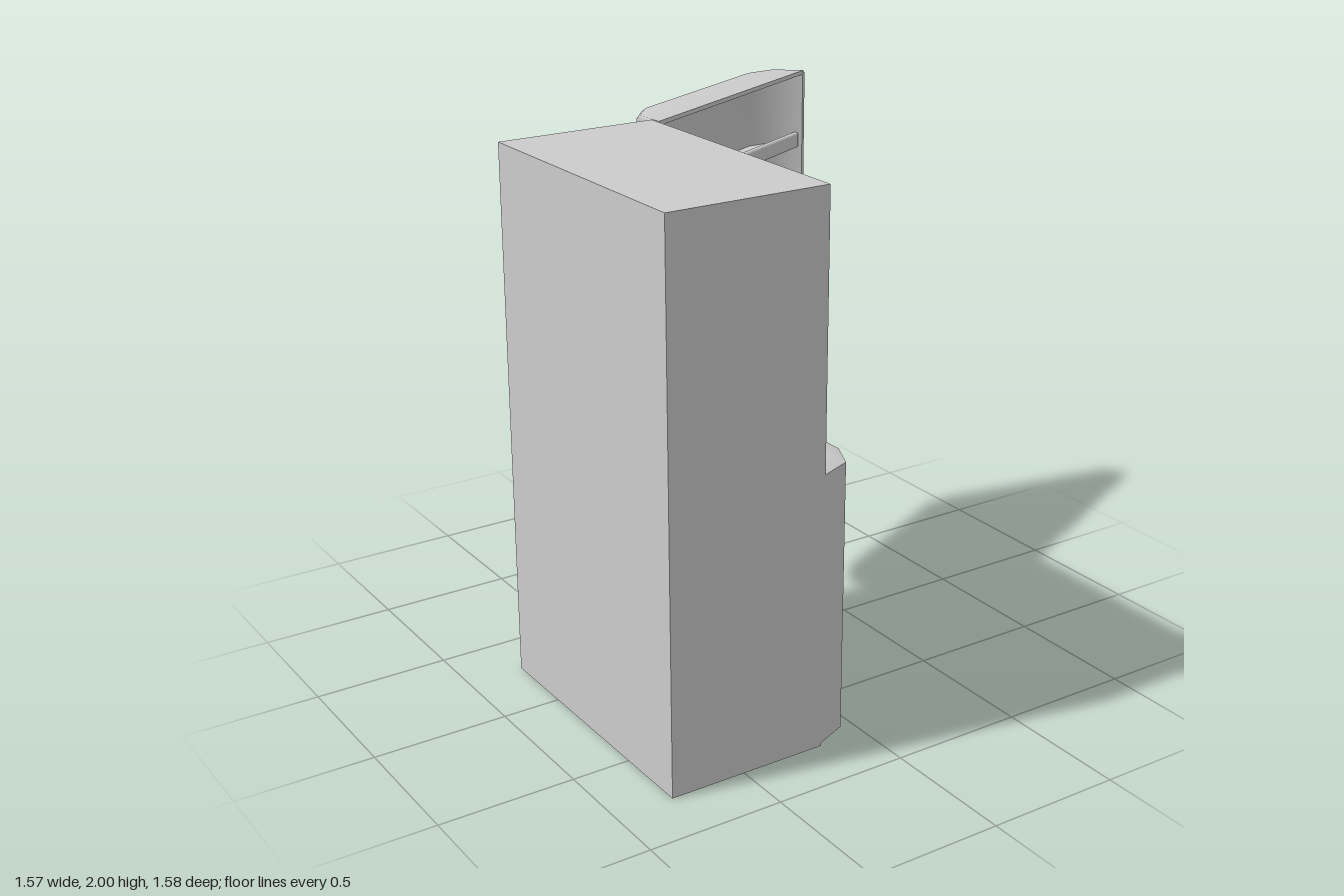
import * as THREE from 'three';
import { RoundedBoxGeometry } from 'three/addons/geometries/RoundedBoxGeometry.js';

const material = new THREE.MeshStandardMaterial({ color: 0xcccccc, side: THREE.DoubleSide });

// Door outline: [along the door, depth outwards], with rounded corners
const WIDTH = 1.07, DEPTH = 0.17;
const outline = [[0, 0], [0.05, 0.12], [0.16, DEPTH], [0.91, DEPTH], [1.02, 0.12], [WIDTH, 0]];

// Outline shrunk by an inset
const insetOutline = (d) => outline.map(([u, v]) => [
  WIDTH / 2 + (u - WIDTH / 2) * (1 - d / (WIDTH / 2)),
  v * (1 - d / DEPTH),
]);

// Skin through stacked outlines; each row is [inset, y, flat], flat collapses it to the hinge plane
function loft(rows) {
  const positions = [], index = [], n = outline.length;
  rows.forEach(([d, y, flat], j) => {
    insetOutline(d).forEach(([u, v], i) => {
      positions.push(flat ? 0 : v, y, u);
      if (j < rows.length - 1 && i < n - 1) {
        const a = j * n + i;
        index.push(a, a + n, a + 1, a + 1, a + n, a + n + 1);
      }
    });
  });
  const geometry = new THREE.BufferGeometry();
  geometry.setAttribute('position', new THREE.Float32BufferAttribute(positions, 3));
  geometry.setIndex(index);
  geometry.computeVertexNormals();
  return geometry;
}

function add(parent, name, geometry, x = 0, y = 0, z = 0) {
  const mesh = new THREE.Mesh(geometry, material);
  mesh.name = name;
  mesh.position.set(x, y, z);
  parent.add(mesh);
  return mesh;
}

// Box given by its limits
function panel(parent, name, x0, x1, y0, y1, z0, z1) {
  return add(parent, name, new THREE.BoxGeometry(x1 - x0, y1 - y0, z1 - z0),
    (x0 + x1) / 2, (y0 + y1) / 2, (z0 + z1) / 2);
}

function createCabinet() {
  const cabinet = new THREE.Group();
  cabinet.name = 'cabinet';
  const x0 = -0.785, x1 = -0.18, z0 = -0.285, z1 = 0.785, t = 0.02;
  panel(cabinet, 'backPanel', x0, x0 + t, 0, 2, z0, z1);
  panel(cabinet, 'topPanel', x0 + t, x1, 2 - t, 2, z0, z1);
  panel(cabinet, 'floorPanel', x0 + t, x1, 0, t, z0, z1);
  panel(cabinet, 'hingeSidePanel', x0 + t, x1, t, 2 - t, z0, z0 + t);
  panel(cabinet, 'openingSidePanel', x0 + t, x1, t, 2 - t, z1 - t, z1);
  for (const y of [1.16, 1.68]) {
    panel(cabinet, 'shelf', x0 + t, x1 - 0.01, y, y + 0.03, z0 + t, z1 - t);
  }
  return cabinet;
}

function createLowerDoor() {
  const door = new THREE.Group();
  door.name = 'lowerDoor';
  // Hollow shell with a sloping rim around its open top
  add(door, 'lowerDoorShell', loft([
    [0.012, 0, true], [0.012, 0], [0, 0.012], [0, 1.02],
  ]));
  add(door, 'lowerDoorRim', loft([[0, 1.02], [0.045, 1.035], [0.065, 1.035], [0.065, 1.0]]));
  // Oval ring handle
  const handle = add(door, 'handle', new THREE.TorusGeometry(0.088, 0.016, 12, 40), 0.163, 0.953, 0.755);
  handle.rotation.x = Math.PI / 2;
  handle.scale.x = 0.7;
  door.position.set(-0.18, 0, -0.285);
  return door;
}

function createUpperDoor() {
  const door = new THREE.Group();
  door.name = 'upperDoor';
  const y0 = 1.04, y1 = 1.998, t = 0.016, b = 0.012;
  add(door, 'upperDoorShell', loft([
    [b, y0, true], [b, y0], [0, y0 + b], [0, y1 - b], [b, y1], [b, y1, true],
  ]));
  add(door, 'upperDoorLining', loft([
    [t, y0 + t, true], [t, y0 + t], [t, y1 - t], [t, y1 - t, true],
  ]));
  // Rim between shell and lining
  for (const u of [0, WIDTH - t]) panel(door, 'sideRim', 0, 0.004, y0 + b, y1 - b, u, u + t);
  for (const y of [y0, y1 - t]) panel(door, 'endRim', 0, 0.004, y, y + t, b, WIDTH - b);
  // Door racks: a rail in front of a floor
  for (const y of [1.195, 1.442, 1.69]) {
    add(door, 'rackRail', new RoundedBoxGeometry(0.026, 0.062, 1.02, 3, 0.011), 0.02, y + 0.031, WIDTH / 2);
    add(door, 'rackFloor', loft([
      [0.02, y + 0.004, true], [0.02, y + 0.004], [0.02, y + 0.016], [0.02, y + 0.016, true],
    ]), 0.012);
  }
  // Swung wide open on its hinge
  door.position.set(-0.18, 0, -0.25);
  door.rotation.y = 2.018;
  return door;
}

export function createModel() {
  const model = new THREE.Group();
  model.name = 'refrigerator';
  model.add(createCabinet(), createLowerDoor(), createUpperDoor());
  return model;
}
